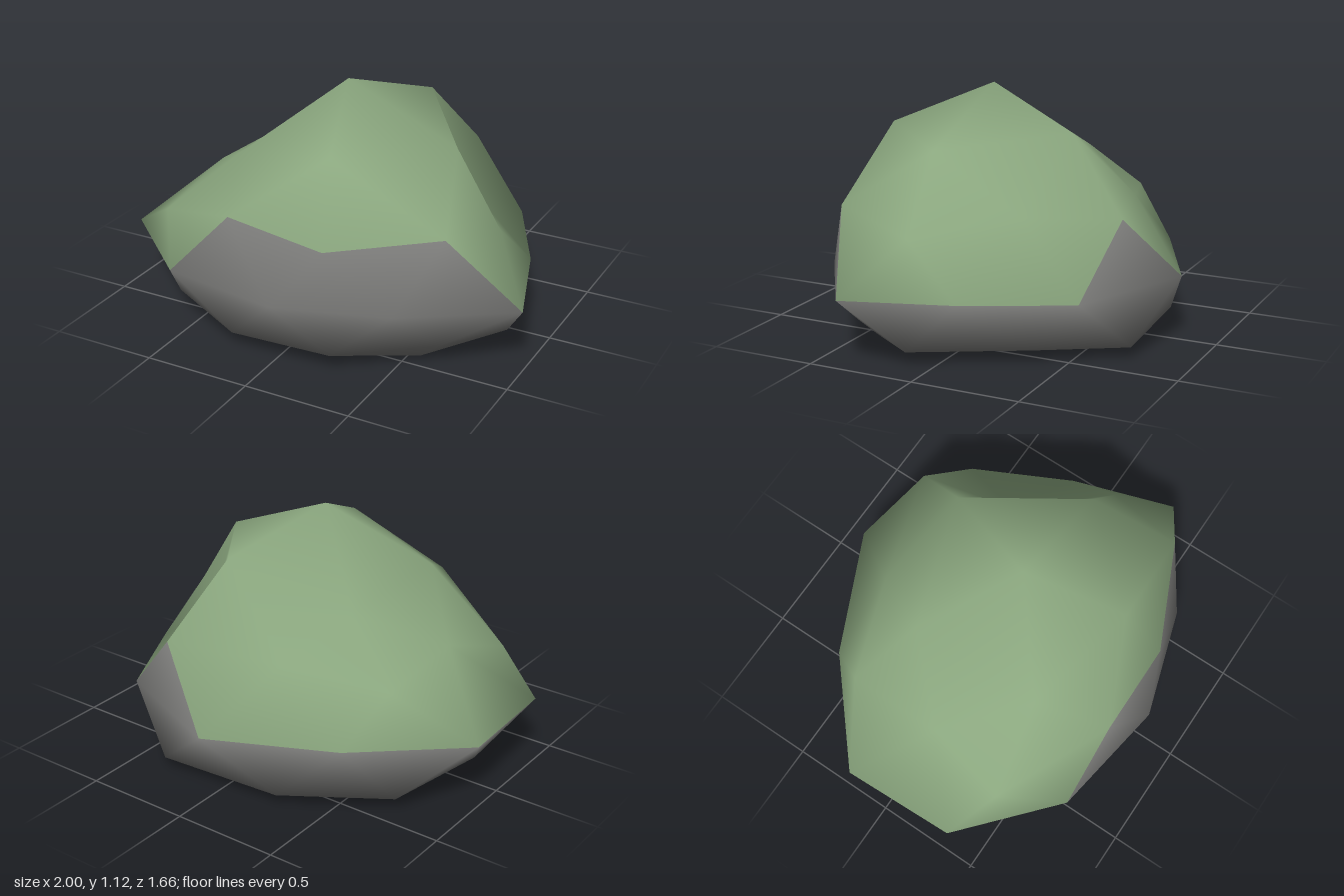
import * as THREE from 'three';

// Cross-section loops, each running from +x towards +z
const top = [[0.02, 1.115, 0.1]];
const shoulder = [[0.57, 0.89, 0.12], [0.17, 0.92, 0.55], [-0.36, 0.8, 0.42], [-0.36, 0.78, -0.22], [0.21, 0.95, -0.38]];
const upper = [
  [0.79, 0.55, 0.13], [0.70, 0.64, 0.51], [0.23, 0.57, 0.73], [-0.23, 0.64, 0.74], [-0.74, 0.46, 0.47],
  [-0.67, 0.59, 0.09], [-0.66, 0.54, -0.37], [-0.2, 0.6, -0.52], [0.33, 0.62, -0.67], [0.43, 0.6, -0.24],
];
const middle = [
  [1, 0.36], [0.53, 0.67], [0.02, 0.83], [-0.55, 0.74], [-0.98, 0.36],
  [-1, -0.18], [-0.55, -0.57], [0.02, -0.835], [0.61, -0.59], [0.84, -0.13],
].map(([x, z]) => [x, 0.305, z]);
const lower = [
  [0.84, 0.06, 0.12], [0.66, 0.1, 0.46], [0.26, 0.08, 0.73], [-0.23, 0.07, 0.74], [-0.66, 0.07, 0.51],
  [-0.83, 0.07, 0.09], [-0.73, 0.06, -0.41], [-0.28, 0.05, -0.68], [0.33, 0.05, -0.72], [0.58, 0.06, -0.36],
];
const base = [[0.56, 0.01, 0.43], [-0.15, 0.03, 0.42], [-0.45, 0.05, 0.05], [-0.15, 0.035, -0.4], [0.4, 0.03, -0.25]];
const bottom = [[0.02, 0, 0.1]];

export function createModel() {
  const moss = new THREE.MeshStandardMaterial({ color: 0x8aa67e });
  moss.name = 'moss green';
  const stone = new THREE.MeshStandardMaterial({ color: 0x7d7d7b });
  stone.name = 'stone grey';

  // Number the points of every loop
  const points = [];
  const ring = (loop) => {
    const start = points.length;
    points.push(...loop);
    return (k) => start + ((k + loop.length) % loop.length);
  };
  const [T, A, B, E, C, D, F] = [top, shoulder, upper, middle, lower, base, bottom].map(ring);
  const mossFaces = [];
  const stoneFaces = [];

  // Crown and underside: five-sided fans
  for (let k = 0; k < 5; k++) {
    const u = 2 * k;
    mossFaces.push(
      T(0), A(k + 1), A(k),
      A(k), B(u), B(u - 1),
      A(k), B(u + 1), B(u),
      A(k), A(k + 1), B(u + 1),
    );
    stoneFaces.push(
      F(0), D(k), D(k + 1),
      D(k), C(u), C(u + 1),
      D(k), C(u + 1), C(u + 2),
      D(k), C(u + 2), D(k + 1),
    );
  }

  // Sides: moss hangs down to the middle, except on the bare front and a notch at the back
  for (let k = 0; k < 10; k++) {
    ([1, 2, 3, 8].includes(k) ? stoneFaces : mossFaces).push(B(k), E(k), E(k - 1));
    ([1, 2].includes(k) ? stoneFaces : mossFaces).push(E(k), B(k), B(k + 1));
    stoneFaces.push(C(k), E(k - 1), E(k), E(k), C(k + 1), C(k));
  }

  // One smooth surface with two colour groups
  const geometry = new THREE.BufferGeometry();
  geometry.setAttribute('position', new THREE.Float32BufferAttribute(points.flat(), 3));
  geometry.setIndex([...mossFaces, ...stoneFaces]);
  geometry.addGroup(0, mossFaces.length, 0);
  geometry.addGroup(mossFaces.length, stoneFaces.length, 1);
  geometry.computeVertexNormals();

  const boulder = new THREE.Mesh(geometry, [moss, stone]);
  boulder.name = 'mossyBoulder';
  const group = new THREE.Group();
  group.name = 'mossyRock';
  group.add(boulder);
  return group;
}
